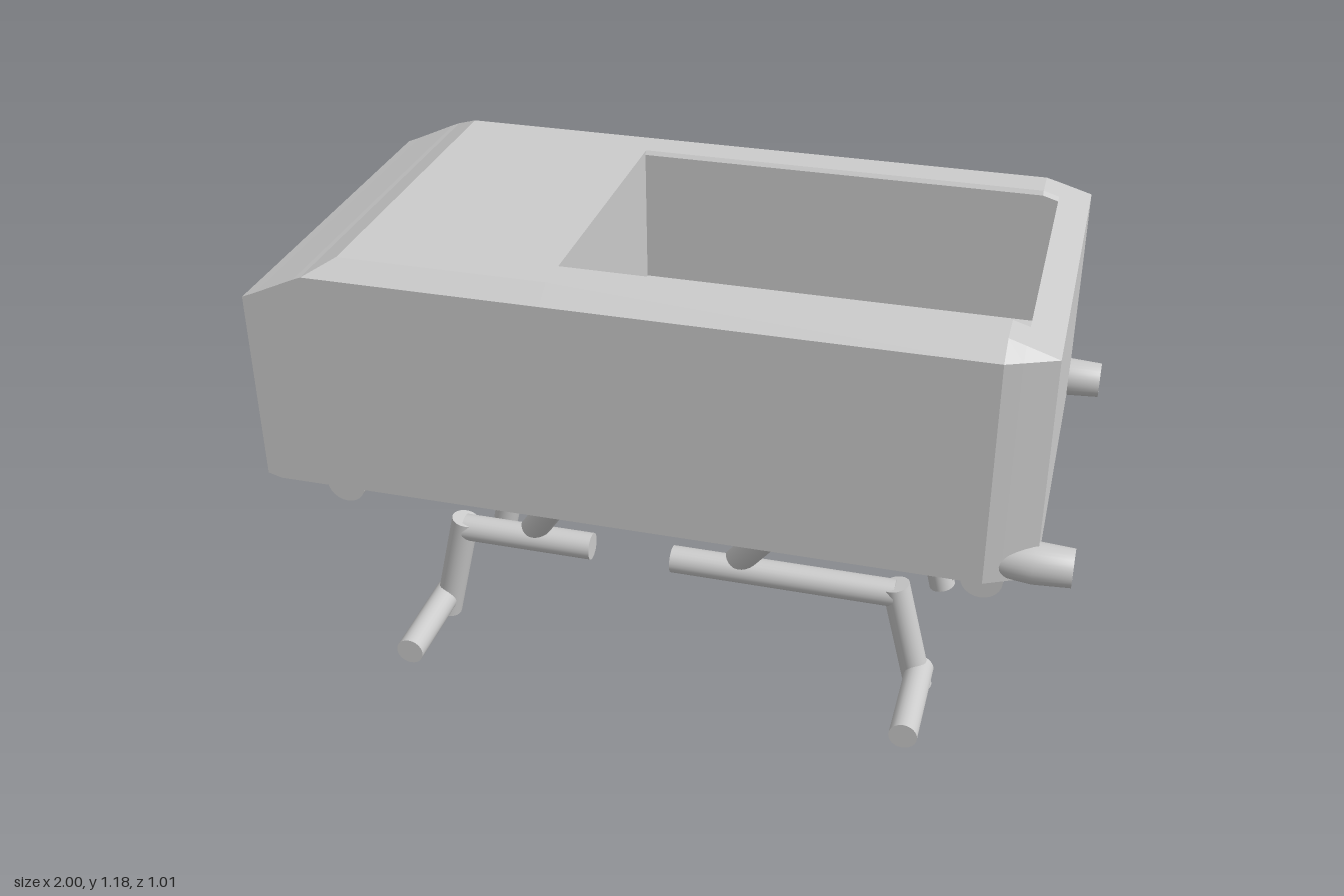
import * as THREE from 'three';

const mat = new THREE.MeshStandardMaterial({ color: 0xcccccc });
const flat = new THREE.MeshStandardMaterial({ color: 0xcccccc, flatShading: true });
const both = new THREE.MeshStandardMaterial({ color: 0xcccccc, side: THREE.DoubleSide });

function add(parent, name, geometry, material = mat) {
  const mesh = new THREE.Mesh(geometry, material);
  mesh.name = name;
  parent.add(mesh);
  return mesh;
}

// Round bar between two points
function bar(parent, name, from, to, radius) {
  const a = new THREE.Vector3(...from), b = new THREE.Vector3(...to);
  const mesh = add(parent, name, new THREE.CylinderGeometry(radius, radius, a.distanceTo(b), 24));
  mesh.position.copy(a).add(b).multiplyScalar(0.5);
  mesh.quaternion.setFromUnitVectors(new THREE.Vector3(0, 1, 0), b.sub(a).normalize());
}

// Chamfered hull lofted along x, with an open cargo bay let into the top
function hullGeometry() {
  const bayHalf = 0.355, floor = 0.81;
  // x, bottom y, bottom half width, lower side y, side half width, upper side y, top half width, top y, has bay
  const sections = [
    [-1, 0.573, 0.505, 0.573, 0.505, 1.07, 0.505, 1.07],
    [-0.965, 0.563, 0.505, 0.563, 0.505, 1.085, 0.505, 1.085],
    [-0.86, 0.537, 0.455, 0.563, 0.505, 1.133, 0.505, 1.133],
    [-0.84, 0.537, 0.455, 0.563, 0.505, 1.141, 0.505, 1.141],
    [-0.77, 0.537, 0.455, 0.563, 0.505, 1.141, 0.45, 1.177],
    [-0.25, 0.537, 0.455, 0.563, 0.505, 1.141, 0.45, 1.177],
    [-0.25, 0.537, 0.455, 0.563, 0.505, 1.141, 0.45, 1.177, true],
    [0.8, 0.537, 0.455, 0.563, 0.505, 1.141, 0.45, 1.177, true],
    [0.84, 0.547, 0.455, 0.5645, 0.488, 1.141, 0.452, 1.165, true],
    [0.84, 0.547, 0.455, 0.5645, 0.488, 1.141, 0.452, 1.165],
    [0.917, 0.567, 0.455, 0.567, 0.455, 1.141, 0.455, 1.141],
  ];
  const rings = sections.map(([x, yb, zb, y1, zs, y2, zt, yt, bay]) => {
    const half = [[zb, yb], [zs, y1], [zs, y2], [zt, yt], [bayHalf + 0.008, yt],
      [bayHalf, bay ? yt - 0.01 : yt], [bayHalf, bay ? floor : yt]];
    const mirrored = half.map(([z, y]) => [-z, y]).reverse();
    return [...half, ...mirrored].map(([z, y]) => [x, y, z]);
  });
  const verts = [];
  for (let i = 0; i < rings.length - 1; i++) {
    const p = rings[i], q = rings[i + 1], n = p.length;
    for (let j = 0; j < n; j++) {
      const k = (j + 1) % n;
      verts.push(...p[j], ...q[j], ...p[k], ...p[k], ...q[j], ...q[k]);
    }
  }
  // Flat end wall
  const end = rings[rings.length - 1];
  for (let j = 1; j < end.length - 1; j++) verts.push(...end[0], ...end[j + 1], ...end[j]);
  const g = new THREE.BufferGeometry();
  g.setAttribute('position', new THREE.Float32BufferAttribute(verts, 3));
  g.computeVertexNormals();
  return g;
}

function rectPath(path, halfWidth, bottom, top) {
  path.moveTo(-halfWidth, bottom);
  path.lineTo(halfWidth, bottom);
  path.lineTo(halfWidth, top);
  path.lineTo(-halfWidth, top);
  path.closePath();
  return path;
}

export function createModel() {
  const model = new THREE.Group();
  model.name = 'walkingCargoVehicle';

  add(model, 'hull', hullGeometry(), flat);

  // Nose wall with an opening, its frame and the sunken lamp panel
  const nose = rectPath(new THREE.Shape(), 0.505, 0.573, 1.07);
  nose.holes.push(rectPath(new THREE.Path(), 0.425, 0.69, 1));
  const noseWall = add(model, 'noseWall', new THREE.ShapeGeometry(nose).rotateY(-Math.PI / 2), both);
  noseWall.position.x = -1;
  const frame = rectPath(new THREE.Shape(), 0.425, 0.69, 1);
  frame.holes.push(rectPath(new THREE.Path(), 0.415, 0.7, 0.99));
  const frameGeometry = new THREE.ExtrudeGeometry(frame, { depth: 0.03, bevelEnabled: false });
  add(model, 'lampFrame', frameGeometry.rotateY(-Math.PI / 2)).position.x = -0.97;
  const panel = add(model, 'lampPanel', new THREE.BoxGeometry(0.01, 0.31, 0.85));
  panel.position.set(-0.965, 0.845, 0);

  // Lamps: rim ring and shallow lens
  for (const side of [-1, 1]) {
    const lamp = new THREE.Group();
    lamp.name = 'headlamp';
    lamp.position.set(-0.975, 0.845, side * 0.25);
    add(lamp, 'lampRim', new THREE.TorusGeometry(0.125, 0.013, 10, 48).rotateY(Math.PI / 2));
    add(lamp, 'lampLens', new THREE.CylinderGeometry(0.115, 0.115, 0.012, 48).rotateZ(Math.PI / 2));
    model.add(lamp);
  }
  const arch = add(model, 'noseArch', new THREE.TorusGeometry(0.09, 0.014, 10, 32, Math.PI).rotateY(-Math.PI / 2));
  arch.scale.y = 0.65;
  arch.position.set(-0.98, 0.7, 0);

  // Tubular underframe
  for (const z of [-0.325, 0.325]) bar(model, 'longRail', [-0.92, 0.537, z], [0.9, 0.537, z], 0.05);
  for (const x of [-0.815, 0.795]) bar(model, 'crossRail', [x, 0.537, -0.455], [x, 0.537, 0.455], 0.05);

  // Open exhaust pipes at the rear corners
  const pipeProfile = [[0.03, 0], [0.045, 0.06], [0.051, 0.12], [0.046, 0.21], [0.036, 0.21], [0.036, 0.08], [0, 0.08]]
    .map(([r, y]) => new THREE.Vector2(r, y));
  for (const side of [-1, 1]) {
    const pipe = add(model, 'exhaustPipe', new THREE.LatheGeometry(pipeProfile, 32).rotateZ(-Math.PI / 2), both);
    pipe.position.set(0.79, 0.605, side * 0.45);
  }

  // Four jointed legs
  const legs = [
    { hip: -0.265, joint: -0.413, barStart: -0.24, knee: -0.596, ankle: -0.668 },
    { hip: 0.302, joint: 0.147, barStart: -0.02, knee: 0.568, ankle: 0.644 },
  ];
  const r = 0.036;
  for (const l of legs) {
    for (const side of [-1, 1]) {
      const leg = new THREE.Group();
      leg.name = 'leg';
      const z = side * 0.228;
      bar(leg, 'hipStrut', [l.hip, 0.537, side * 0.325], [l.joint, 0.302, side * 0.213], r);
      bar(leg, 'thighBar', [l.barStart, 0.293, z], [l.knee, 0.293, z], r);
      bar(leg, 'shin', [l.knee, 0.32, z], [l.ankle, 0.009, z], r);
      bar(leg, 'foot', [l.ankle, 0.059, side * 0.215], [l.ankle, 0.059, side * 0.495], r);
      model.add(leg);
    }
  }
  return model;
}
